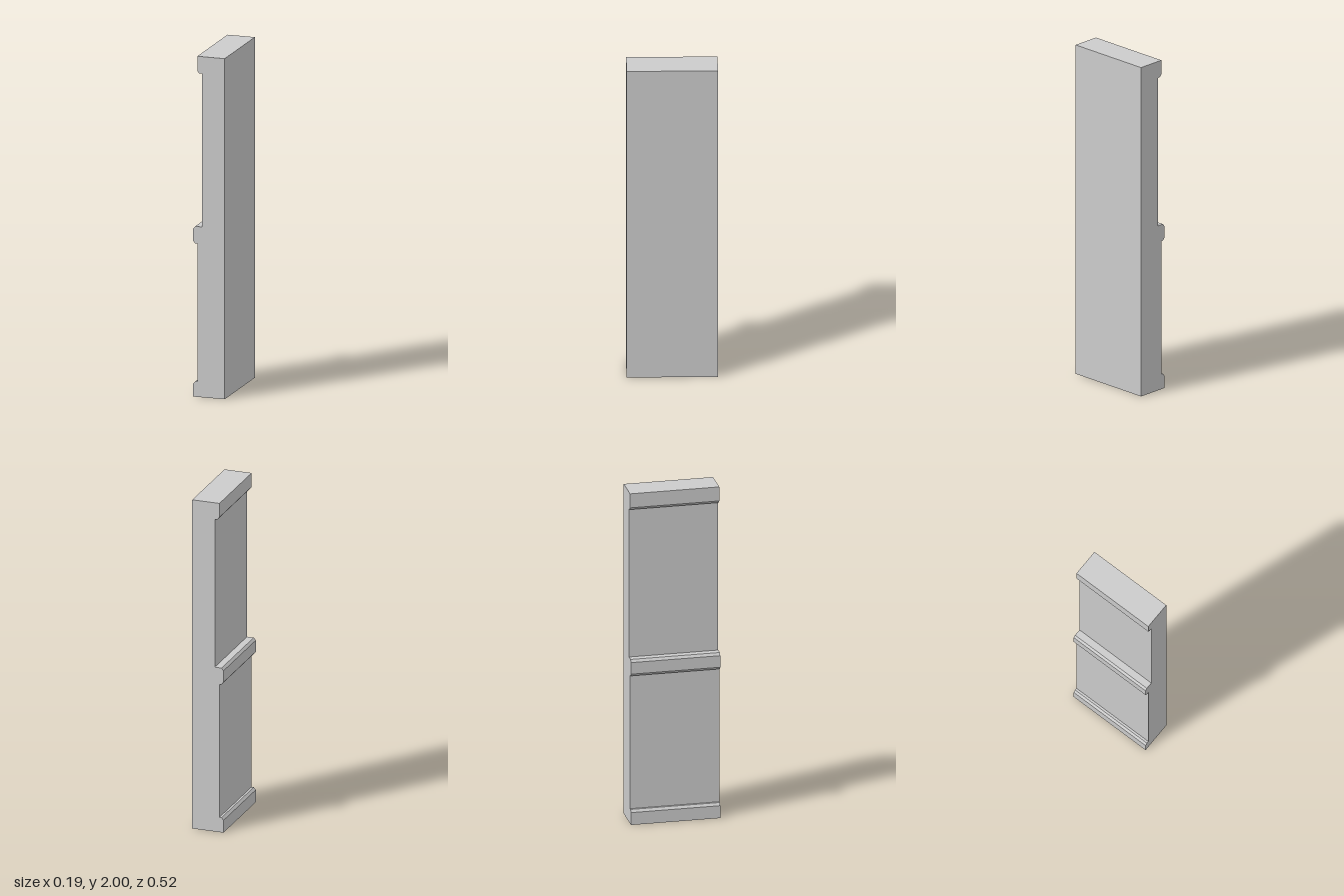
import * as THREE from 'three';

const DEPTH = 0.52;
const BACK = 0.095;         // flat face
const TRIM = -0.095;        // lower and middle moulding face
const LOWER = -0.07;        // lower panel face, also top moulding face
const UPPER = -0.042;       // recessed upper panel face
const C = 0.012, D = 0.015; // chamfer width and height

export function createModel() {
  const group = new THREE.Group();
  group.name = 'wallPanel';

  // Cross-section of the panel, counter-clockwise from the foot of the flat face
  const profile = [
    [BACK, 0], [BACK, 2],
    // top moulding
    [LOWER, 2], [LOWER, 1.9 + D], [LOWER + C, 1.9],
    // upper panel
    [UPPER, 1.9], [UPPER, 1],
    // middle moulding
    [TRIM + C, 1], [TRIM, 1 - D], [TRIM, 0.9 + D], [TRIM + C, 0.9],
    // lower panel
    [LOWER, 0.9], [LOWER, 0.09],
    // base moulding
    [TRIM + C, 0.09], [TRIM, 0.09 - D], [TRIM, 0],
  ];
  const shape = new THREE.Shape(profile.map(([x, y]) => new THREE.Vector2(x, y)));
  const geometry = new THREE.ExtrudeGeometry(shape, { depth: DEPTH, bevelEnabled: false });
  geometry.translate(0, 0, -DEPTH / 2);

  const panel = new THREE.Mesh(
    geometry,
    new THREE.MeshStandardMaterial({ color: 0xcccccc, flatShading: true })
  );
  panel.name = 'mouldedPanel';
  group.add(panel);
  return group;
}
